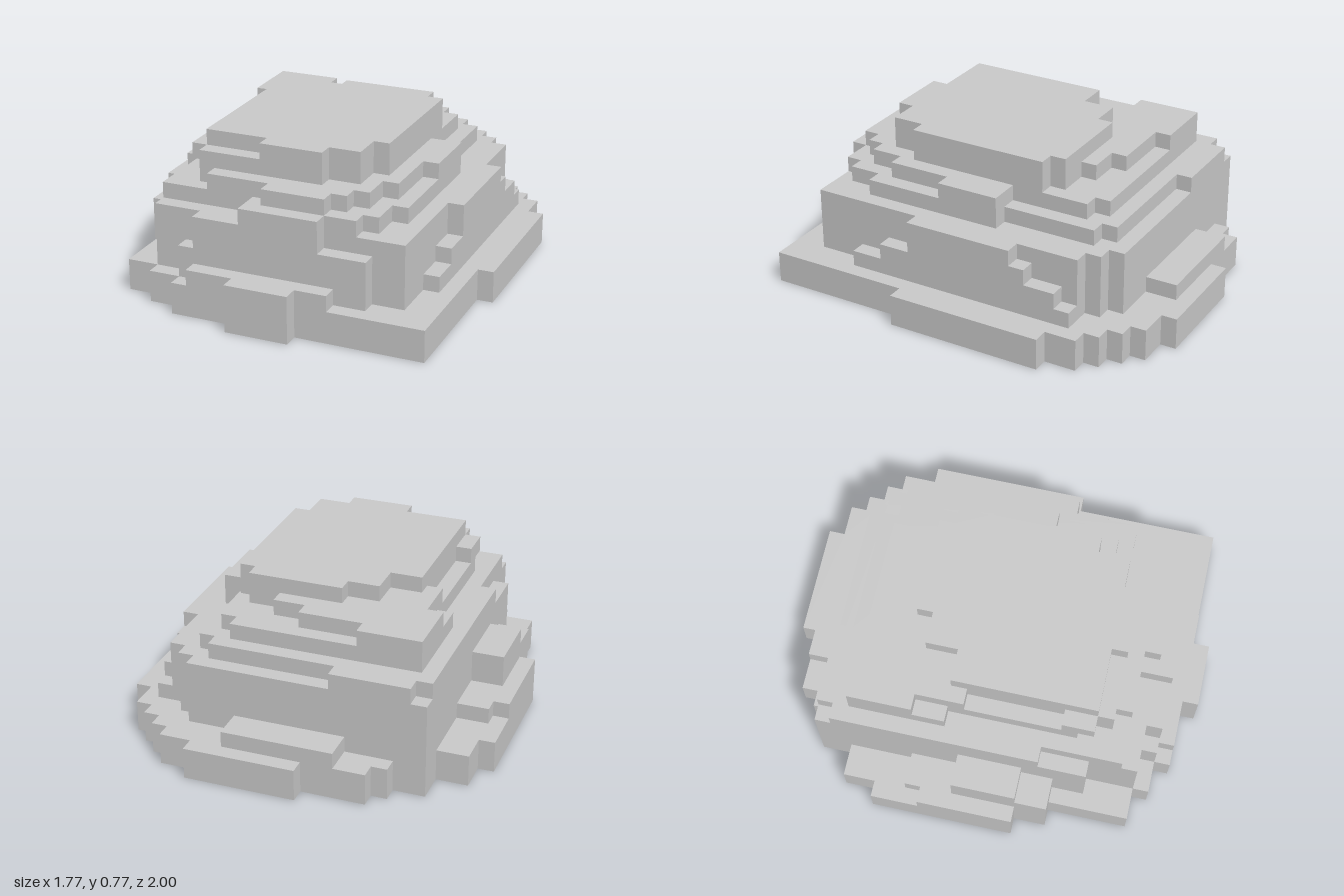
import * as THREE from 'three';

const U = 2 / 26; // edge of one block
const NX = 23, NZ = 26; // footprint in blocks

// Stepped outline from bands [first row, left column, right column], back to front
function steppedOutline(bands, end) {
  const left = [], right = [];
  const add = (side, i, k) => {
    const p = new THREE.Vector2((i - NX / 2) * U, (NZ / 2 - k) * U);
    if (!side.length || !side[side.length - 1].equals(p)) side.push(p);
  };
  bands.forEach(([k, l, r], n) => {
    const next = n + 1 < bands.length ? bands[n + 1][0] : end;
    for (const row of [k, next]) {
      add(left, l, row);
      add(right, r, row);
    }
  });
  return new THREE.Shape([...left, ...right.reverse()]);
}

export function createModel() {
  const model = new THREE.Group();
  model.name = 'blockyRock';
  const stone = new THREE.MeshStandardMaterial({ color: 0xcccccc, flatShading: true });

  // A slab with a stepped outline; `end` closes the last band
  const tier = (name, level, height, bands, end) => {
    const geometry = new THREE.ExtrudeGeometry(steppedOutline(bands, end), { depth: height * U, bevelEnabled: false });
    const mesh = new THREE.Mesh(geometry.rotateX(-Math.PI / 2), stone);
    mesh.name = name;
    mesh.position.y = level * U;
    model.add(mesh);
  };
  // A plain block over columns i0..i1 and rows k0..k1
  const block = (name, level, height, i0, i1, k0, k1) => tier(name, level, height, [[k0, i0, i1]], k1);

  // Wide foot
  tier('baseSlab', 0, 2, [[0, 10, 17], [1, 6, 19], [2, 5, 20], [3, 3, 21], [4, 3, 22], [5, 1, 22],
    [6, 1, 23], [7, 0, 23], [16, 1, 22], [18, 2, 22], [23, 4, 22], [24, 6, 22]], 25);
  block('frontNub', 0, 3, 10, 14, 25, 26);

  // Main body with its front wall
  tier('body', 2, 4, [[3, 3, 18], [4, 3, 19], [5, 3, 20], [20, 4, 20]], 23);
  block('frontWall', 2, 4, 7, 15, 23, 24);
  block('frontWallLeft', 2, 3, 15, 18, 23, 24);
  block('frontWallRight', 2, 2, 6, 7, 23, 24);

  // Low ledges around the body
  block('frontLedge', 2, 1, 7, 16, 24, 25);
  block('backLedge', 2, 1, 8, 15, 1, 3);
  block('rightLedge', 2, 1, 1, 3, 9, 18);
  block('rightLedgeRim', 2, 1, 0, 1, 10, 16);
  block('rightStep', 3, 1, 1, 3, 12, 18);
  block('rightStub', 4, 1, 1, 3, 12, 16);

  // Flank that gets shorter with each level
  for (let n = 0; n < 4; n++) {
    block('leftFlank', 2 + n, 1, 20, 21, 5 + Math.round(n * 1.3), Math.max(16, 20 - 2 * n));
  }

  // Tiers narrowing to the flat top
  tier('shoulder', 6, 1, [[3, 4, 9], [4, 3, 17], [5, 3, 18], [11, 3, 19], [17, 4, 19], [20, 4, 18],
    [22, 10, 17], [23, 10, 15]], 24);
  tier('upperLedge', 7, 1, [[5, 4, 16], [6, 4, 17], [11, 5, 19], [15, 5, 18], [19, 6, 17], [21, 7, 16],
    [22, 11, 15]], 23);
  tier('crown', 8, 1, [[5, 4, 8], [6, 4, 12], [7, 4, 14], [8, 4, 16], [9, 5, 17], [12, 6, 17], [18, 5, 16],
    [20, 6, 14]], 21);
  tier('topSlab', 9, 1, [[8, 10, 16], [9, 8, 17], [11, 6, 17], [18, 6, 16], [20, 10, 14]], 21);
  return model;
}
